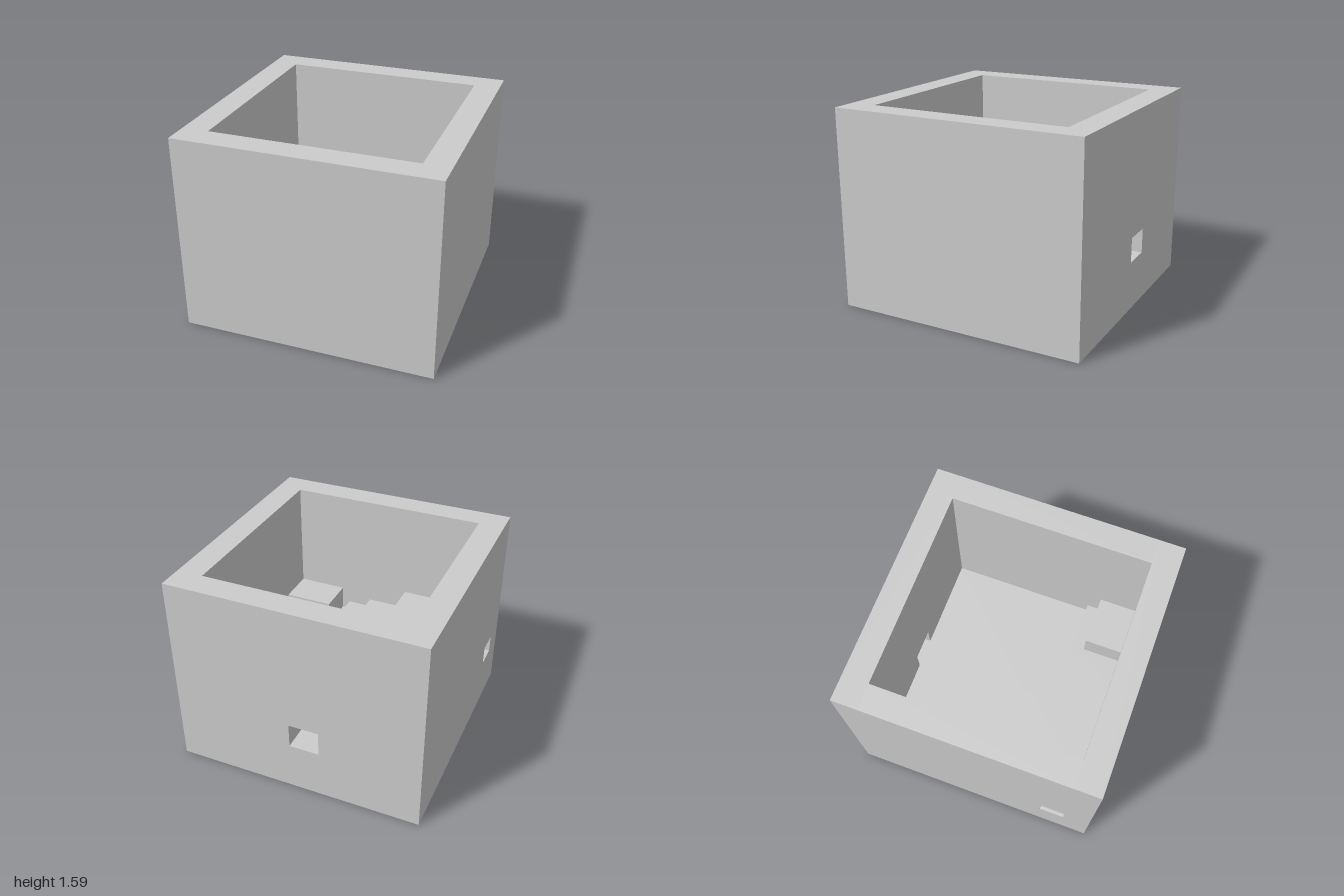
import * as THREE from 'three';

const H = 1.59, FLOOR = 0.4, IN = 0.795;

export function createModel() {
  const group = new THREE.Group();
  const material = new THREE.MeshStandardMaterial({ color: 0xcccccc, flatShading: true });

  const add = (name, geometry) => {
    const mesh = new THREE.Mesh(geometry, material);
    mesh.name = name;
    group.add(mesh);
    return mesh;
  };

  // Box given by its limits on each axis
  const block = (name, x0, x1, y0, y1, z0, z1) =>
    add(name, new THREE.BoxGeometry(x1 - x0, y1 - y0, z1 - z0)
      .translate((x0 + x1) / 2, (y0 + y1) / 2, (z0 + z1) / 2));

  // Wall with a rectangular opening standing on the floor level
  const notchedWall = (name, from, to, open0, open1, openTop) => {
    const shape = new THREE.Shape([
      [from, FLOOR], [open0, FLOOR], [open0, openTop], [open1, openTop],
      [open1, FLOOR], [to, FLOOR], [to, H], [from, H],
    ].map(([x, y]) => new THREE.Vector2(x, y)));
    return add(name, new THREE.ExtrudeGeometry(shape, { depth: 1 - IN, bevelEnabled: false }));
  };

  // Solid base, its top is the lowest inner floor
  block('base', -1, 1, 0, FLOOR, -1, 1);

  // Plain walls
  block('frontWall', -1, 1, FLOOR, H, IN, 1);
  block('leftWall', IN, 1, FLOOR, H, -IN, IN);

  // Walls with openings
  notchedWall('backWall', -1, 1, -0.195, 0.045, 0.6).position.z = -1;
  const side = notchedWall('rightWall', -IN, IN, -0.79, -0.59, 0.55);
  side.rotation.y = Math.PI / 2;
  side.position.x = -1;

  // Raised terrace in an L shape
  block('terrace', -IN, 0.295, FLOOR, 0.5, -0.3, IN);
  block('terraceWing', 0.295, IN, FLOOR, 0.5, 0.39, IN);

  // Corner platform on a slightly wider plinth
  block('platformPlinth', -IN, -0.18, 0.5, 0.7, 0.18, IN);
  block('platform', -IN, -0.2, 0.7, 0.8, 0.2, IN);

  // Steps beside the platform
  block('upperStep', -0.18, 0.13, 0.5, 0.64, 0.51, IN);
  block('lowerStep', 0.13, 0.33, 0.5, 0.57, 0.51, IN);

  // Block in the opposite corner
  block('cornerBlock', 0.395, IN, 0.5, 0.7, 0.49, IN);

  return group;
}
